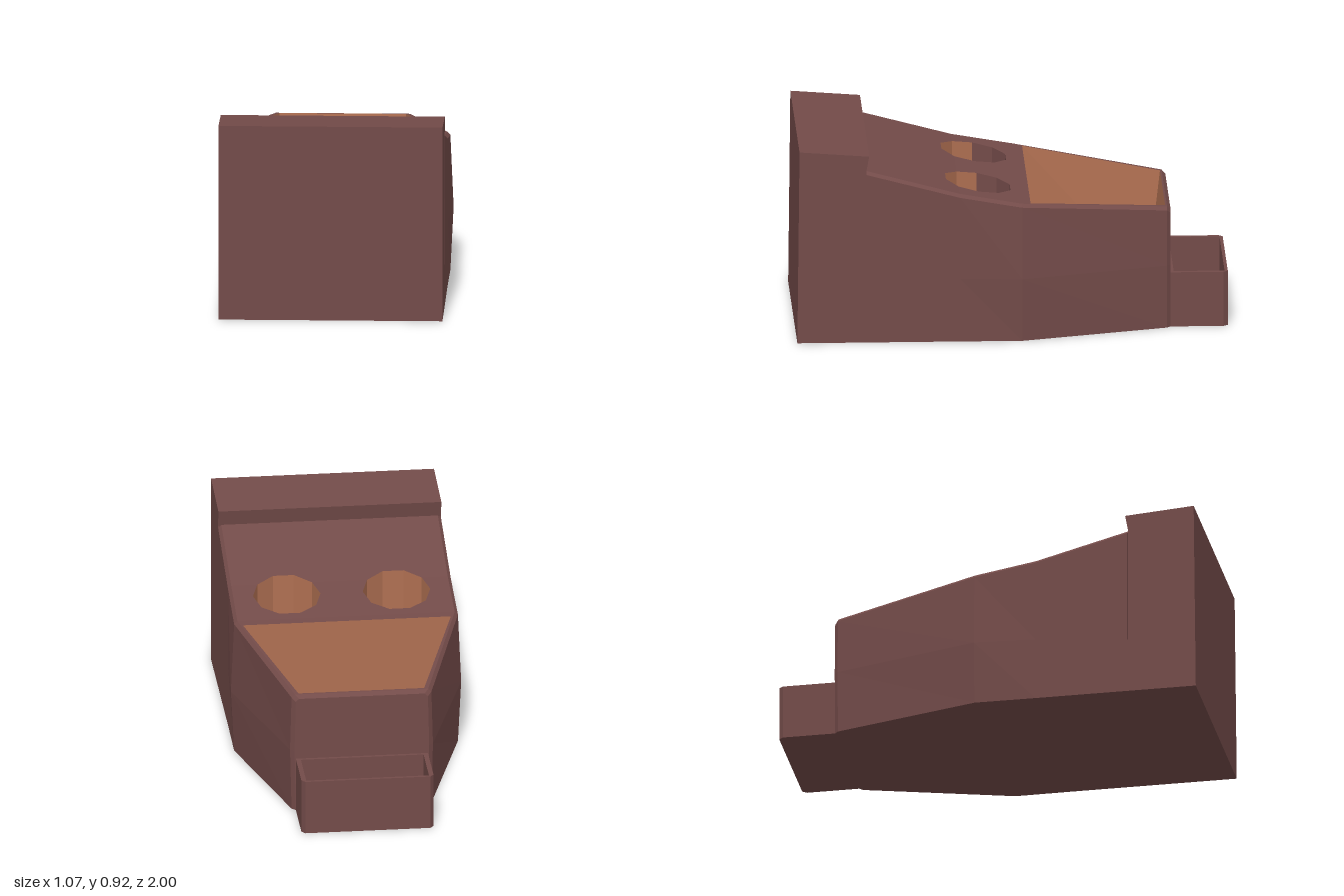
import * as THREE from 'three';

const paint = (color) => new THREE.MeshStandardMaterial({ color, flatShading: true, side: THREE.DoubleSide });
const brown = paint(0x734b49);
const tan = paint(0xb07052);

// Body stations, front to back: z, half-width at base, at bulge, at top, and top height
const stations = [
  [0.68, 0.518, 0.518, 0.518, 0.82],
  [0.247, 0.518, 0.518, 0.518, 0.705],
  [-0.04, 0.52, 0.535, 0.52, 0.655],
  [-0.718, 0.325, 0.332, 0.325, 0.578],
  [-0.735, 0.307, 0.313, 0.307, 0.562],
];
const RIM = 0.015;

// Height of the sloping top at depth z
function topY(z) {
  for (let i = 1; i < stations.length; i++) {
    const a = stations[i - 1], b = stations[i];
    if (z >= b[0] - 1e-6) return b[4] + ((a[4] - b[4]) * (z - b[0])) / (a[0] - b[0]);
  }
  return stations[stations.length - 1][4];
}

// Surface through a list of cross-sections with equal point counts
function loft(rows) {
  const pos = [];
  for (let i = 0; i + 1 < rows.length; i++) {
    for (let j = 0; j + 1 < rows[i].length; j++) {
      const a = rows[i][j], b = rows[i][j + 1], c = rows[i + 1][j + 1], d = rows[i + 1][j];
      pos.push(...a, ...b, ...c, ...a, ...c, ...d);
    }
  }
  const geo = new THREE.BufferGeometry();
  geo.setAttribute('position', new THREE.Float32BufferAttribute(pos, 3));
  geo.computeVertexNormals();
  return geo;
}

// Plan shape from [x, z] points, to be laid flat facing up
const plan = (pts) => new THREE.Shape(pts.map(([x, z]) => new THREE.Vector2(x, -z)));

function slab(shape, y, height) {
  const geo = new THREE.ExtrudeGeometry(shape, { depth: height, bevelEnabled: false });
  return geo.rotateX(-Math.PI / 2).translate(0, y, 0);
}

function sheet(shape, height) {
  const geo = new THREE.ShapeGeometry(shape).rotateX(-Math.PI / 2);
  const p = geo.attributes.position;
  for (let i = 0; i < p.count; i++) p.setY(i, height(p.getZ(i)));
  geo.computeVertexNormals();
  return geo;
}

export function createModel() {
  const model = new THREE.Group();
  model.name = 'centreConsole';
  const add = (name, geo, mat = brown) => {
    const mesh = new THREE.Mesh(geo, mat);
    mesh.name = name;
    model.add(mesh);
  };

  // Tall front block with its lip overhanging the top
  const side = new THREE.Shape(
    [[1, 0], [0.99, 0.917], [0.668, 0.893], [0.682, 0.815], [0.68, 0]].map(([z, y]) => new THREE.Vector2(-z, y)));
  const block = new THREE.ExtrudeGeometry(side, { depth: 1.036, bevelEnabled: false });
  add('frontBlock', block.translate(0, 0, -0.518).rotateY(Math.PI / 2));

  // Bulging sides and underside, open on top
  const section = ([z, xb, xm, xt, yt]) => {
    const half = [[xt - RIM, yt], [xt, yt - RIM], [xm, 0.3], [xb, 0]];
    return [...half.map(([x, y]) => [x, y, z]), ...half.reverse().map(([x, y]) => [-x, y, z])];
  };
  const rings = stations.map(section);
  add('bodyShell', loft(rings));

  // Back wall
  const last = rings[rings.length - 1];
  const back = new THREE.ShapeGeometry(new THREE.Shape(last.map(([x, y]) => new THREE.Vector2(-x, y))));
  add('backWall', back.rotateY(Math.PI).translate(0, 0, last[0][2]));

  // Ten-sided cup holders
  const CUP = { x: 0.255, z: 0.155, r: 0.157 };
  const cupPoint = (cx, k) => [
    cx + CUP.r * Math.cos((k * Math.PI) / 5), CUP.z + CUP.r * Math.sin((k * Math.PI) / 5)];
  const arc = (cx, from, to) => {
    const pts = [];
    for (let k = from; k <= to; k++) pts.push(cupPoint(cx, k));
    return pts;
  };

  // Top panels, split along the bends; the first split runs through the cups
  const corner = (i, s) => [s * (stations[i][3] - RIM), stations[i][0]];
  const trayTop = [[0.483, -0.08], [0.292, -0.71], [-0.292, -0.71], [-0.483, -0.08]];
  const trayBase = [[0.465, -0.08], [0.28, -0.65], [-0.28, -0.65], [-0.465, -0.08]];
  const upper = plan([
    corner(0, -1), corner(0, 1), corner(1, 1),
    ...arc(CUP.x, 1, 4), ...arc(-CUP.x, 1, 4), corner(1, -1)]);
  const middle = plan([
    corner(2, 1), corner(2, -1), corner(1, -1),
    ...arc(-CUP.x, 4, 11), ...arc(CUP.x, 4, 11), corner(1, 1)]);
  const lower = plan([corner(2, -1), corner(2, 1), corner(3, 1), corner(3, -1)]);
  lower.holes.push(plan(trayTop));
  const bevel = plan([corner(3, -1), corner(3, 1), corner(4, 1), corner(4, -1)]);
  [upper, middle, lower, bevel].forEach((s, i) => add('topPanel' + (i + 1), sheet(s, topY)));

  // Cup walls and floors
  const CUP_FLOOR = 0.35;
  for (const s of [1, -1]) {
    const cx = s * CUP.x, name = s > 0 ? 'leftCup' : 'rightCup';
    const wall = (from, to) => {
      const pts = arc(cx, from, to);
      return loft([pts.map(([x, z]) => [x, CUP_FLOOR, z]), pts.map(([x, z]) => [x, topY(z), z])]);
    };
    add(name + 'FrontWall', wall(0, 5), tan);
    add(name + 'RearWall', wall(5, 10));
    add(name + 'Floor', sheet(plan(arc(cx, 0, 9)), () => CUP_FLOOR));
  }

  // Deep storage tray with tapering walls
  const TRAY_FLOOR = 0.06;
  const close = (pts) => [...pts, pts[0]];
  add('trayWalls', loft([
    close(trayBase).map(([x, z]) => [x, TRAY_FLOOR, z]),
    close(trayTop).map(([x, z]) => [x, topY(z), z])]), tan);
  add('trayFloor', sheet(plan(trayBase), () => TRAY_FLOOR));

  // Open box at the rear
  const outline = [[0.307, -0.735], [0.307, -0.98], [0.29, -1], [-0.29, -1], [-0.307, -0.98], [-0.307, -0.735]];
  const walls = plan(outline);
  walls.holes.push(plan([[0.285, -0.75], [0.285, -0.985], [-0.285, -0.985], [-0.285, -0.75]]));
  add('rearBoxWalls', slab(walls, 0.05, 0.21));
  add('rearBoxFloor', slab(plan(outline), 0, 0.05));

  return model;
}
